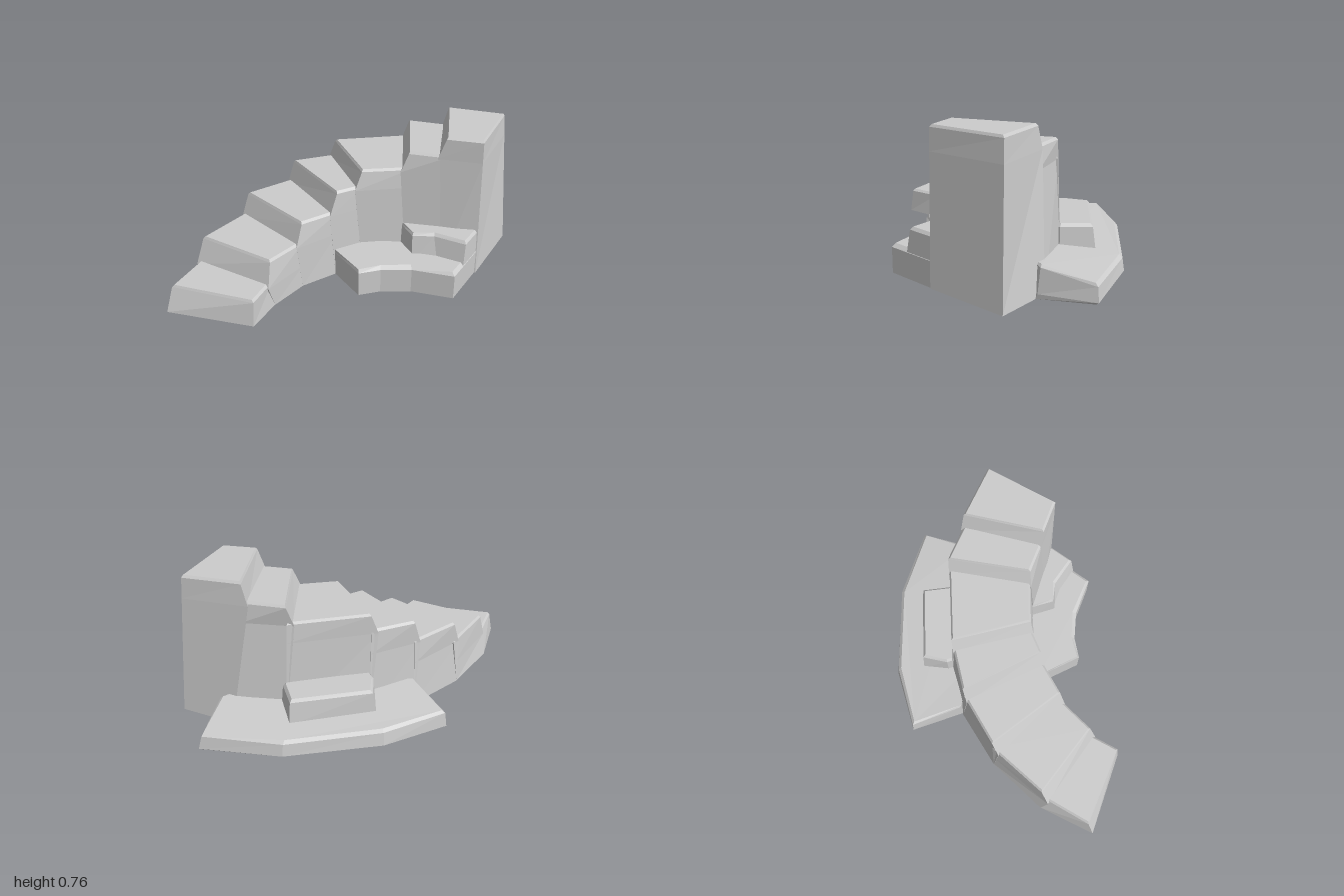
import * as THREE from 'three';

const stone = new THREE.MeshStandardMaterial({ color: 0xcccccc, flatShading: true });

// plan points [x, z] (optionally [x, z, y]) lifted to height y
const ring = (pts, y) => pts.map(([x, z, h]) => new THREE.Vector3(x, h ?? y, z));

// ring shrunk toward its centre and raised, for a chamfered top edge
function chamfer(r, inset, rise) {
  const c = r.reduce((a, p) => a.add(p), new THREE.Vector3()).divideScalar(r.length);
  return r.map(p => {
    const d = c.clone().sub(p).setY(0).setLength(inset);
    return p.clone().add(d).setY(p.y + rise);
  });
}

// faceted block lofted through stacked rings, closed at both ends
function block(name, rings) {
  const flat = r => r.map(p => new THREE.Vector2(p.x, -p.z));
  if (THREE.ShapeUtils.isClockWise(flat(rings[0]))) rings = rings.map(r => [...r].reverse());
  const pos = [];
  const tri = (a, b, c) => pos.push(...a.toArray(), ...b.toArray(), ...c.toArray());
  for (let k = 0; k < rings.length - 1; k++) {
    const lo = rings[k], hi = rings[k + 1];
    lo.forEach((p, i) => {
      const j = (i + 1) % lo.length;
      tri(p, lo[j], hi[j]);
      tri(p, hi[j], hi[i]);
    });
  }
  const first = rings[0], last = rings[rings.length - 1];
  THREE.ShapeUtils.triangulateShape(flat(first), []).forEach(([a, b, c]) => tri(first[a], first[c], first[b]));
  THREE.ShapeUtils.triangulateShape(flat(last), []).forEach(([a, b, c]) => tri(last[a], last[b], last[c]));
  const geo = new THREE.BufferGeometry();
  geo.setAttribute('position', new THREE.Float32BufferAttribute(pos, 3));
  geo.computeVertexNormals();
  const mesh = new THREE.Mesh(geo, stone);
  mesh.name = name;
  return mesh;
}

// radial lines between the steps: outer and inner ends, on the ground and at tread height
const outerBase = [[-1, -0.05], [-0.75, -0.23], [-0.42, -0.34], [-0.09, -0.36], [0.16, -0.30], [0.54, -0.11], [0.74, 0.07], [0.88, 0.33]];
const outerTop = [[-0.95, -0.065], [-0.71, -0.21], [-0.39, -0.325], [-0.10, -0.335], [0.13, -0.275], [0.50, -0.10], [0.635, 0.065], [0.82, 0.30]];
const innerBase = [[-0.70, 0.285], [-0.53, 0.19], [-0.33, 0.125], [-0.13, 0.125], [0.03, 0.14], [0.22, 0.27], [0.35, 0.40], [0.49, 0.525]];
const innerTop = [[-0.685, 0.27], [-0.54, 0.175], [-0.32, 0.11], [-0.11, 0.11], [0.03, 0.125], [0.24, 0.235], [0.36, 0.375], [0.48, 0.51]];
const heights = [0.14, 0.26, 0.37, 0.48, 0.57, 0.66, 0.76];

function step(i) {
  const top = heights[i], prev = i ? heights[i - 1] : 0;
  const at = (lo, hi, k, t) => [lo[k][0] + (hi[k][0] - lo[k][0]) * t, lo[k][1] + (hi[k][1] - lo[k][1]) * t];
  const section = (y, lean) => {
    const t = y / top;
    const start = (lo, hi) => {
      const p = at(lo, hi, i, t);
      if (!i || !lean) return p;
      const q = hi[i - 1], d = Math.hypot(q[0] - p[0], q[1] - p[1]);
      return [p[0] + (q[0] - p[0]) * lean / d, p[1] + (q[1] - p[1]) * lean / d];
    };
    return ring([start(outerBase, outerTop), at(outerBase, outerTop, i + 1, t),
      at(innerBase, innerTop, i + 1, t), start(innerBase, innerTop)], y);
  };
  const rings = [section(0.005, 0)];
  if (i) rings.push(section(prev - 0.02, 0.04)); // foot of the leaning riser
  const rim = section(top - 0.012, 0);
  rings.push(rim, chamfer(rim, 0.012, 0.012));
  return block('step' + (i + 1), rings);
}

export function createModel() {
  const model = new THREE.Group();
  model.name = 'curvedStoneStaircase';

  // rising curved flight, each step solid to the ground
  const flight = new THREE.Group();
  flight.name = 'flight';
  heights.forEach((_, i) => flight.add(step(i)));
  model.add(flight);

  // low ledge behind the flight, thinner toward its outer rim
  model.add(block('rearLedge', [
    ring([[-0.08, -0.35, 0], [-0.04, -0.62, 0.03], [0.28, -0.555, 0.03], [0.69, -0.34, 0.03], [0.97, -0.06, 0.03], [0.77, 0.13, 0.005], [0.45, 0.1, 0], [0.1, -0.2, 0]]),
    ring([[-0.09, -0.36, 0.03], [-0.05, -0.643, 0.045], [0.29, -0.575, 0.045], [0.715, -0.35, 0.045], [0.993, -0.06, 0.045], [0.78, 0.125, 0.03], [0.45, 0.1, 0.03], [0.1, -0.2, 0.03]]),
    ring([[-0.085, -0.365, 0.145], [-0.045, -0.635, 0.12], [0.285, -0.565, 0.11], [0.705, -0.345, 0.105], [0.975, -0.065, 0.11], [0.775, 0.11, 0.15], [0.45, 0.1, 0.15], [0.1, -0.2, 0.15]]),
    ring([[-0.08, -0.355, 0.16], [-0.035, -0.62, 0.132], [0.28, -0.55, 0.125], [0.69, -0.335, 0.12], [0.96, -0.06, 0.125], [0.765, 0.1, 0.16], [0.45, 0.1, 0.16], [0.1, -0.2, 0.16]]),
  ]));

  // raised slab on the rear ledge
  model.add(block('rearSlab', [
    ring([[0.14, -0.32], [0.225, -0.435], [0.61, -0.255], [0.55, -0.095], [0.4, -0.02], [0.12, -0.22]], 0.12),
    ring([[0.15, -0.32], [0.235, -0.42], [0.595, -0.245], [0.54, -0.10], [0.4, -0.03], [0.13, -0.22]], 0.235),
    ring([[0.16, -0.315], [0.24, -0.405], [0.58, -0.24], [0.53, -0.11], [0.4, -0.04], [0.14, -0.22]], 0.25),
  ]));

  // low block inside the curve
  const low = [[-0.13, 0.1], [-0.14, 0.35], [-0.03, 0.385], [0.1, 0.47], [0.24, 0.635], [0.49, 0.518], [0.45, 0.35], [0.1, 0.08]];
  const lowTop = [[-0.13, 0.1], [-0.135, 0.34], [-0.02, 0.37], [0.11, 0.45], [0.24, 0.615], [0.48, 0.505], [0.45, 0.35], [0.1, 0.08]];
  model.add(block('innerLowBlock', [
    ring(low, 0.005),
    ring(low, 0.135),
    ring(lowTop, 0.153),
  ]));

  // upper block against the tall end
  model.add(block('innerHighBlock', [
    ring([[0.2, 0.24], [0.175, 0.375], [0.265, 0.475], [0.33, 0.592], [0.488, 0.518], [0.42, 0.36]], 0.1),
    ring([[0.21, 0.24], [0.185, 0.36], [0.275, 0.425], [0.355, 0.575], [0.485, 0.515], [0.42, 0.36]], 0.25),
    ring([[0.215, 0.24], [0.195, 0.355], [0.285, 0.415], [0.36, 0.56], [0.48, 0.505], [0.42, 0.36]], 0.265),
  ]));

  return model;
}
